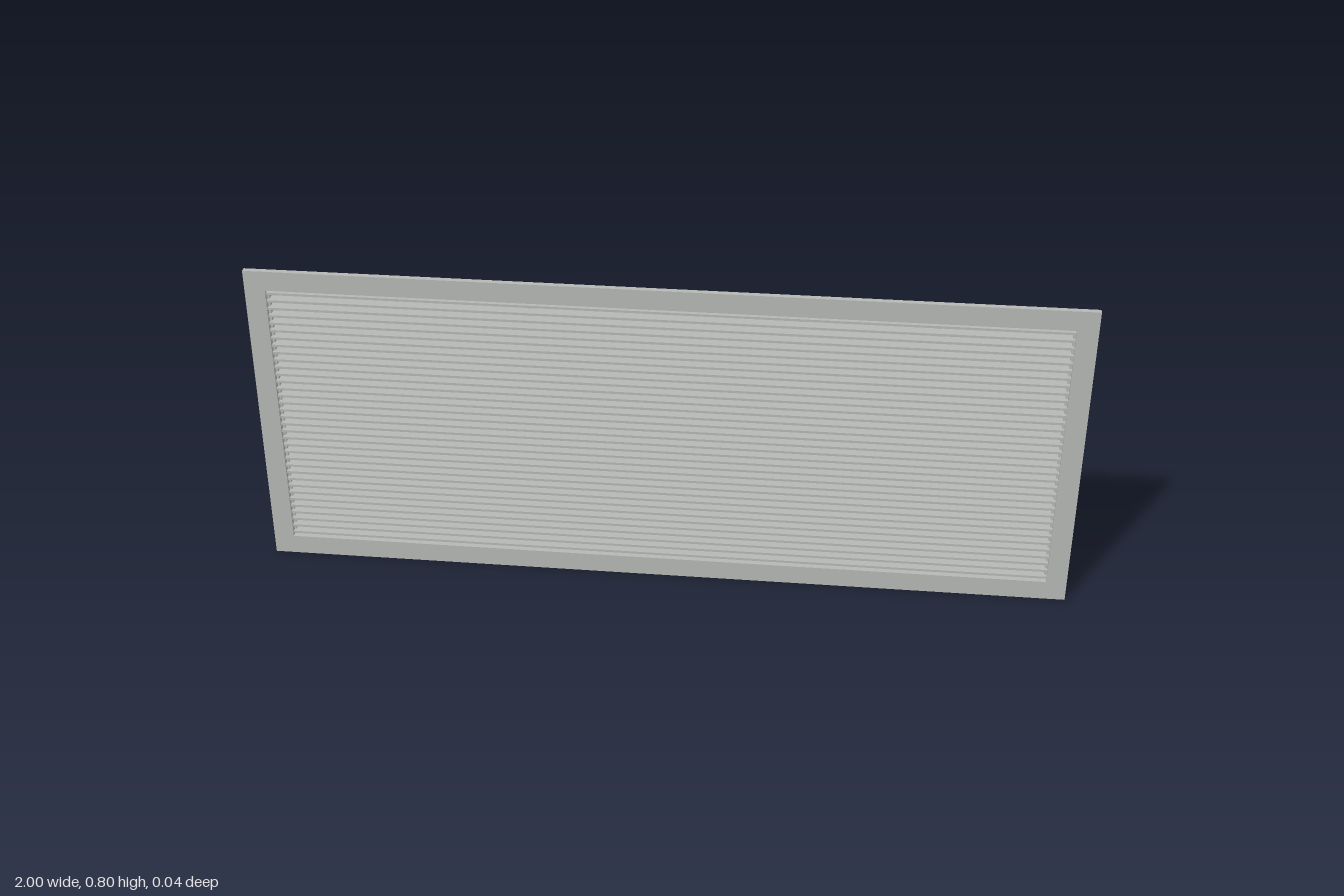
import * as THREE from 'three';

// Rectangular ring, extruded along z from z0 to z1
function ring(halfW, y0, y1, innerHalfW, iy0, iy1, z0, z1) {
  const rect = (Type, w, a, b) => {
    const p = new Type();
    p.moveTo(-w, a);
    p.lineTo(w, a);
    p.lineTo(w, b);
    p.lineTo(-w, b);
    p.closePath();
    return p;
  };
  const shape = rect(THREE.Shape, halfW, y0, y1);
  shape.holes.push(rect(THREE.Path, innerHalfW, iy0, iy1));
  return new THREE.ExtrudeGeometry(shape, { depth: z1 - z0, bevelEnabled: false }).translate(0, 0, z0);
}

export function createModel() {
  const group = new THREE.Group();
  const metal = new THREE.MeshStandardMaterial({ color: 0xb4b7b4 });
  metal.name = 'satin grey metal';

  const add = (name, geometry, x = 0, y = 0, z = 0) => {
    const mesh = new THREE.Mesh(geometry, metal);
    mesh.name = name;
    mesh.position.set(x, y, z);
    group.add(mesh);
  };

  // Front flange and the shallow collar behind it
  add('frontFrame', ring(1, 0, 0.8, 0.95, 0.05, 0.75, 0.008, 0.022));
  add('rearCollar', ring(0.955, 0.045, 0.755, 0.945, 0.05, 0.75, -0.022, 0.008));

  // Thin horizontal blades, evenly spaced in the opening
  const count = 35;
  const pitch = 0.7 / count;
  const blade = new THREE.BoxGeometry(1.9, 0.006, 0.036);
  for (let i = 0; i < count; i++) {
    add('blade', blade, 0, 0.05 + (i + 0.5) * pitch, 0);
  }

  // Vertical support bars near the back
  const bar = new THREE.BoxGeometry(0.009, 0.7, 0.013);
  for (let i = -2; i <= 2; i++) {
    add('supportBar', bar, i * 0.32, 0.4, -0.0135);
  }

  return group;
}
